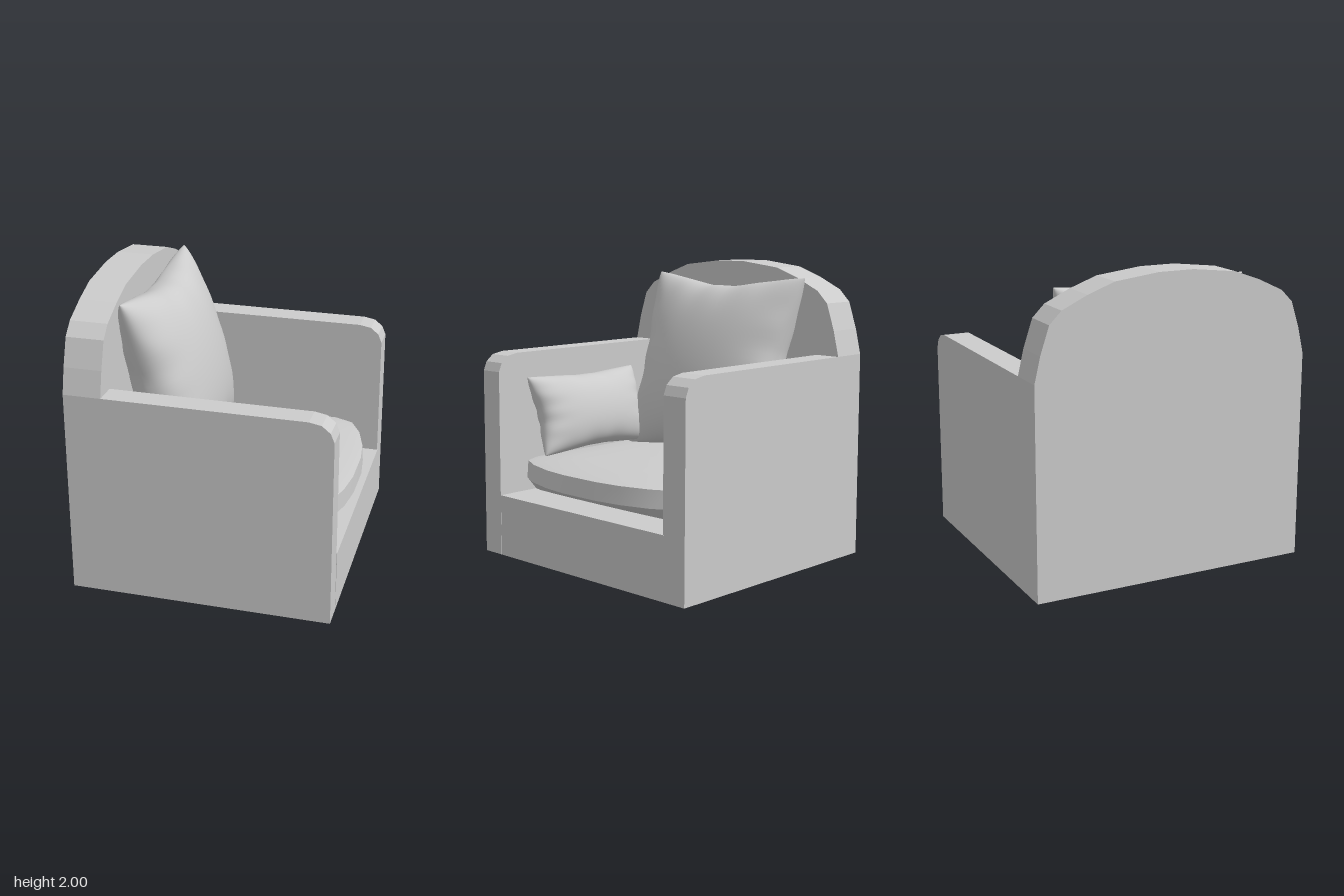
import * as THREE from 'three';
import { mergeVertices, toCreasedNormals } from 'three/addons/utils/BufferGeometryUtils.js';

const material = new THREE.MeshStandardMaterial({ color: 0xcccccc });

function part(name, geometry) {
  const mesh = new THREE.Mesh(geometry, material);
  mesh.name = name;
  return mesh;
}

function extrude(points, depth) {
  const shape = new THREE.Shape(points.map(([x, y]) => new THREE.Vector2(x, y)));
  return new THREE.ExtrudeGeometry(shape, { depth, bevelEnabled: false });
}

// Closed surface lofted upwards through rings of equal point count, capped at both ends
function loft(rings) {
  const pos = [];
  const tri = (a, b, c) => pos.push(...a, ...b, ...c);
  const n = rings[0].length;
  const mid = (ring) => [0, 1, 2].map((k) => ring.reduce((s, p) => s + p[k], 0) / n);
  const low = rings[0], high = rings[rings.length - 1];
  const lowMid = mid(low), highMid = mid(high);
  for (let i = 0; i < n; i++) {
    const j = (i + 1) % n;
    for (let r = 0; r < rings.length - 1; r++) {
      const a = rings[r], b = rings[r + 1];
      tri(a[i], a[j], b[j]);
      tri(a[i], b[j], b[i]);
    }
    tri(lowMid, low[j], low[i]);
    tri(highMid, high[i], high[j]);
  }
  const geometry = new THREE.BufferGeometry();
  geometry.setAttribute('position', new THREE.Float32BufferAttribute(pos, 3));
  return toCreasedNormals(geometry, 0.5);
}

// Stuffed pillow in the xy plane: pinched edges, blunt corners, soft creases near the seams
function pillow(halfW, halfH, thick, pinch) {
  const n = 40, pos = [], index = [];
  const pull = (s) => Math.min(1, 1.2 * (1 - Math.abs(s)));
  for (const side of [1, -1]) {
    const start = pos.length / 3;
    for (let j = 0; j <= n; j++) {
      for (let i = 0; i <= n; i++) {
        const u = Math.sin((i / n - 0.5) * Math.PI), v = Math.sin((j / n - 0.5) * Math.PI);
        const fu = 1 - u * u, fv = 1 - v * v;
        const crease = 1 + 0.09 * (Math.cos(v * 14) * u ** 6 * fv + Math.cos(u * 14) * v ** 6 * fu);
        const t = Math.max(0, fu * fv) ** 0.45 * crease;
        const round = 1 - 0.012 * (u * v) ** 8;
        pos.push(halfW * u * round * (1 - pinch * pull(v) * u * u),
          halfH * v * round * (1 - pinch * pull(u) * v * v), side * thick * t);
      }
    }
    for (let j = 0; j < n; j++) {
      for (let i = 0; i < n; i++) {
        const a = start + j * (n + 1) + i, b = a + 1, c = a + n + 1, d = c + 1;
        if (side > 0) index.push(a, b, d, a, d, c);
        else index.push(a, d, b, a, c, d);
      }
    }
  }
  const geometry = new THREE.BufferGeometry();
  geometry.setAttribute('position', new THREE.Float32BufferAttribute(pos, 3));
  geometry.setIndex(index);
  return mergeVertices(geometry, 1e-4);
}

// Presses the pillow flat against a wall lying at a limit on one axis
function press(geometry, axis, min, max) {
  const p = geometry.attributes.position;
  for (let i = 0; i < p.count; i++) {
    p.setComponent(i, axis, THREE.MathUtils.clamp(p.getComponent(i, axis), min, max));
  }
  geometry.computeVertexNormals();
  return geometry;
}

export function createModel() {
  const group = new THREE.Group();
  group.name = 'armchair';

  // Arched backrest panel
  const arch = [[0.95, 0], [0.95, 1.39], [0.91, 1.56], [0.85, 1.74], [0.77, 1.82],
    [0.6, 1.9], [0.42, 1.965], [0.12, 2]];
  const outline = [...arch, ...arch.map(([z, y]) => [-z, y]).reverse()];
  const back = extrude(outline, 0.25).rotateY(Math.PI / 2).translate(-0.87, 0, 0);
  group.add(part('backrest', back));

  // Arms with a rounded top front corner
  const armOutline = [[-0.62, 0], [0.87, 0], [0.86, 1.27], [0.835, 1.33], [0.78, 1.375],
    [0.7, 1.39], [-0.62, 1.39]];
  group.add(part('leftArm', extrude(armOutline, 0.165).translate(0, 0, 0.785)));
  group.add(part('rightArm', extrude(armOutline, 0.18).translate(0, 0, -0.95)));

  // Base between the arms
  const base = new THREE.BoxGeometry(1.49, 0.42, 1.56).translate(0.125, 0.21, 0);
  group.add(part('base', base));

  // Seat cushion: bowed front, undercut below, gently domed top
  const half = [[-0.62, 0.68], [-0.59, 0.72], [-0.49, 0.77], [0.56, 0.77], [0.69, 0.71],
    [0.77, 0.56], [0.83, 0.35], [0.855, 0.15]];
  const plan = [...half, ...half.map(([x, z]) => [x, -z]).reverse()];
  const ring = (y, scale, bow) => plan.map(([x, z]) => {
    const px = x > 0.56 ? 0.56 + (x - 0.56) * bow : x;
    return [0.1 + (px - 0.1) * scale, y, z * scale];
  });
  group.add(part('seatCushion', loft([
    ring(0.42, 1, 0.1), ring(0.53, 1, 1), ring(0.65, 0.99, 1),
    ring(0.667, 0.9, 1), ring(0.685, 0.6, 1), ring(0.69, 0.25, 1),
  ])));

  // Large pillow leaning on the backrest
  const large = pillow(0.68, 0.655, 0.26, 0.14)
    .rotateX(-0.268).rotateY(Math.PI / 2).translate(-0.41, 1.28, -0.02);
  group.add(part('backPillow', press(large, 0, -0.62, 1)));

  // Small pillow leaning on the left arm
  const small = pillow(0.5, 0.28, 0.175, 0.1)
    .rotateX(0.33).translate(0.175, 0.96, 0.625);
  group.add(part('sidePillow', press(small, 2, -1, 0.785)));

  return group;
}
